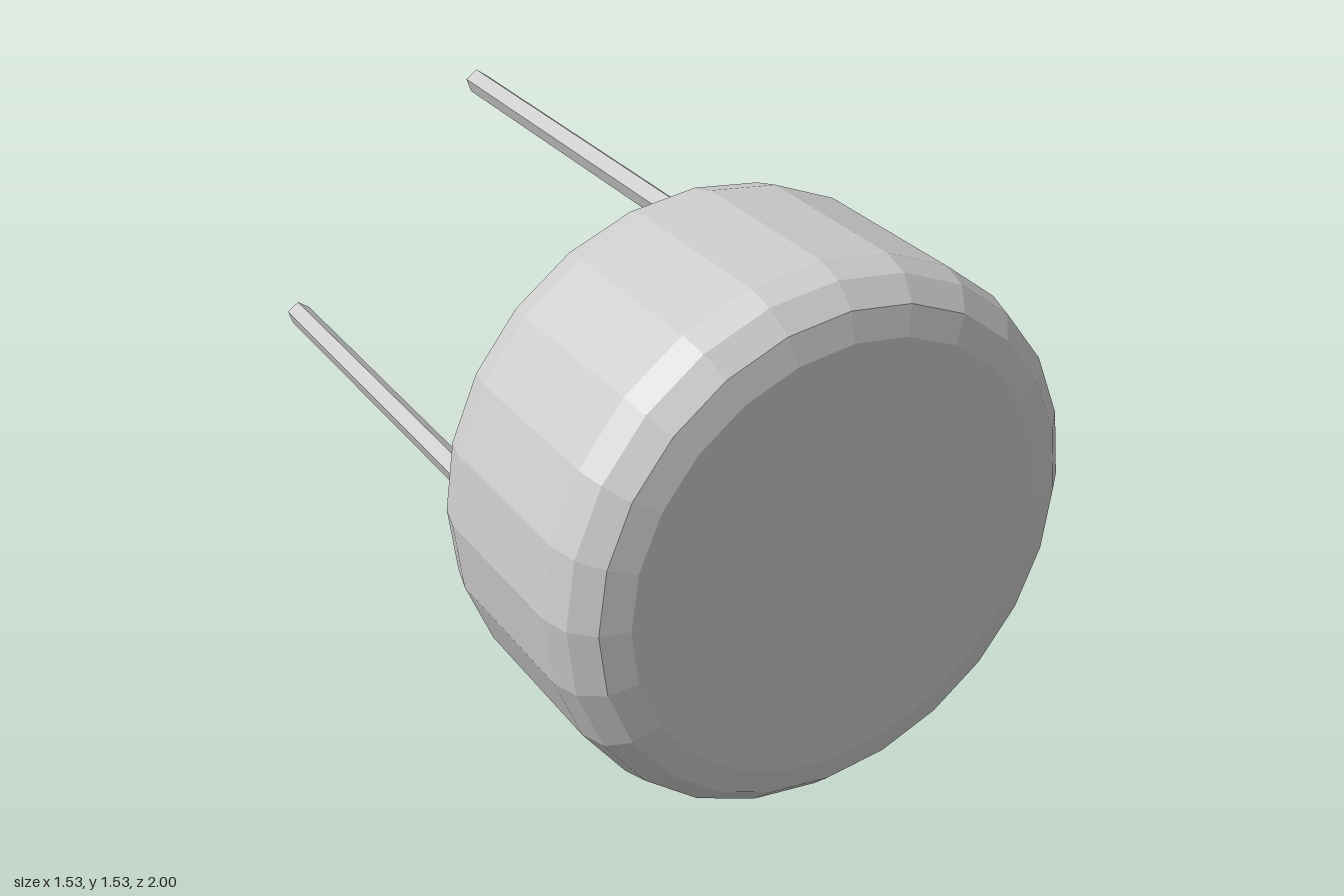
import * as THREE from 'three';

const RADIUS = 0.765, FRONT = 1, BACK = 0.196, BEVEL = 0.155;
const PRONG_RADIUS = 0.036, PRONG_RING = 0.633, PRONG_START = 0.206, PRONG_END = -1;

export function createModel() {
  const model = new THREE.Group();
  const material = new THREE.MeshStandardMaterial({ color: 0xcccccc, flatShading: true });

  // Drum with a three-step rounded rim at each end, profile runs back to front
  const profile = [new THREE.Vector2(0, BACK)];
  const addRim = (z, from, to) => {
    for (let i = 0; i <= 3; i++) {
      const a = THREE.MathUtils.lerp(from, to, i / 3);
      profile.push(new THREE.Vector2(RADIUS - BEVEL + BEVEL * Math.cos(a), z + BEVEL * Math.sin(a)));
    }
  };
  addRim(BACK + BEVEL, -Math.PI / 2, 0);
  addRim(FRONT - BEVEL, 0, Math.PI / 2);
  profile.push(new THREE.Vector2(0, FRONT));
  const drum = new THREE.Mesh(new THREE.LatheGeometry(profile, 24).rotateX(Math.PI / 2), material);
  drum.name = 'drum';
  drum.position.y = RADIUS;
  model.add(drum);

  // Four five-sided prongs: top, bottom, left and right
  const length = PRONG_START - PRONG_END;
  const prongGeometry = new THREE.CylinderGeometry(PRONG_RADIUS, PRONG_RADIUS, length, 5).rotateX(-Math.PI / 2);
  ['leftProng', 'topProng', 'rightProng', 'bottomProng'].forEach((name, i) => {
    const a = (i * Math.PI) / 2;
    const prong = new THREE.Mesh(prongGeometry, material);
    prong.name = name;
    prong.position.set(
      PRONG_RING * Math.cos(a),
      RADIUS + 0.003 + PRONG_RING * Math.sin(a),
      (PRONG_START + PRONG_END) / 2
    );
    model.add(prong);
  });

  return model;
}
